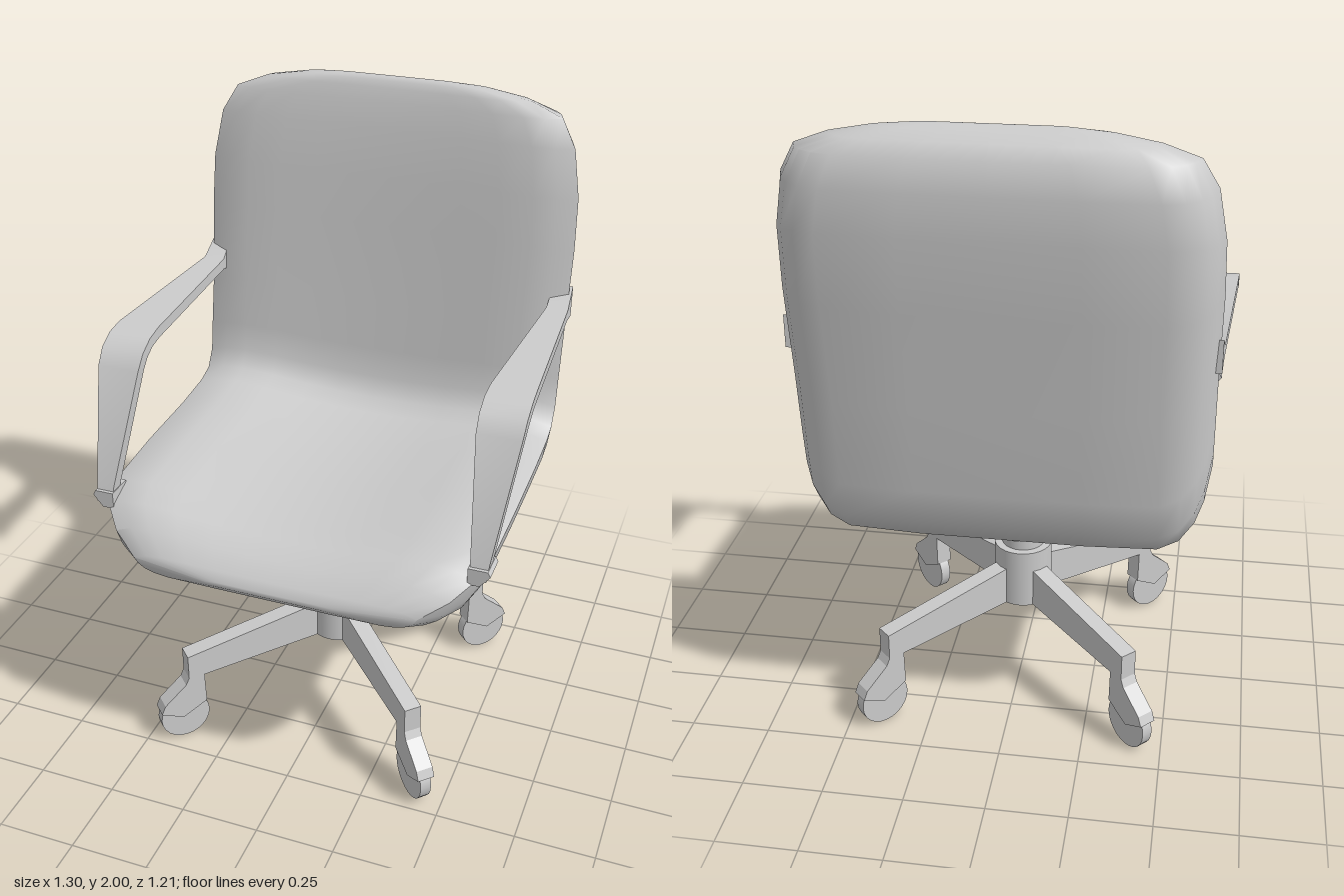
import * as THREE from 'three';
import { toCreasedNormals } from 'three/addons/utils/BufferGeometryUtils.js';

const material = new THREE.MeshStandardMaterial({ color: 0xcccccc });

function part(name, geometry, parent) {
  const mesh = new THREE.Mesh(geometry, material);
  mesh.name = name;
  parent.add(mesh);
  return mesh;
}

// Skin a list of closed rings of [x, y, z] points and cap both ends
function loft(rings, crease) {
  const n = rings[0].length, last = rings.length - 1;
  const pos = rings.flat(2), index = [];
  const id = (i, k) => i * n + (k % n);
  for (let i = 0; i < last; i++) {
    for (let k = 0; k < n; k++) {
      const a = id(i, k), b = id(i, k + 1), c = id(i + 1, k + 1), d = id(i + 1, k);
      index.push(a, b, c, a, c, d);
    }
  }
  [0, last].forEach((i, end) => {
    const centre = pos.length / 3;
    for (let j = 0; j < 3; j++) pos.push(rings[i].reduce((s, p) => s + p[j], 0) / n);
    for (let k = 0; k < n; k++) {
      if (end) index.push(id(i, k), id(i, k + 1), centre);
      else index.push(id(i, k + 1), id(i, k), centre);
    }
  });
  const g = new THREE.BufferGeometry();
  g.setAttribute('position', new THREE.Float32BufferAttribute(pos, 3));
  g.setIndex(index);
  return toCreasedNormals(g, crease);
}

// Flat profile given a thickness, centred on z = 0
function slab(points, width) {
  const shape = new THREE.Shape(points.map(p => new THREE.Vector2(...p)));
  return new THREE.ExtrudeGeometry(shape, { depth: width, bevelEnabled: false }).translate(0, 0, -width / 2);
}

// Continuous seat and backrest: [inner z, inner y, outer z, outer y, half width, dish]
function shellGeometry() {
  const stations = [
    [0.608, 0.80, 0.608, 0.785, 0.20, 0],
    [0.588, 0.83, 0.58, 0.755, 0.44, 0.005],
    [0.54, 0.885, 0.53, 0.737, 0.52, 0.02],
    [0.48, 0.93, 0.45, 0.725, 0.575, 0.035],
    [0.40, 0.953, 0.36, 0.725, 0.60, 0.05],
    [0.15, 0.967, 0.10, 0.725, 0.605, 0.055],
    [-0.10, 0.974, -0.15, 0.725, 0.605, 0.055],
    [-0.24, 0.985, -0.36, 0.725, 0.605, 0.048],
    [-0.30, 1.005, -0.425, 0.737, 0.605, 0.04],
    [-0.333, 1.06, -0.475, 0.80, 0.605, 0.032],
    [-0.345, 1.15, -0.50, 0.92, 0.605, 0.025],
    [-0.364, 1.30, -0.53, 1.20, 0.605, 0.018],
    [-0.394, 1.55, -0.578, 1.50, 0.608, 0.014],
    [-0.412, 1.70, -0.603, 1.72, 0.603, 0.012],
    [-0.432, 1.85, -0.606, 1.84, 0.577, 0.012],
    [-0.452, 1.93, -0.592, 1.93, 0.53, 0.01],
    [-0.466, 1.97, -0.565, 1.965, 0.43, 0.008],
    [-0.478, 1.99, -0.535, 1.99, 0.31, 0.005],
    [-0.492, 2.0, -0.51, 2.0, 0.20, 0],
  ];
  // inner: [share of half width, share of dish, share of rim drop]; outer: [share of half width, share of thickness]
  const inner = [[0, 1, 0], [0.2, 0.92, 0], [0.4, 0.68, 0], [0.6, 0.3, 0], [0.78, 0, 0.05], [0.9, 0, 0.3], [1, 0, 1]];
  const outer = [[0.97, 0.4], [0.93, 0.65], [0.86, 0.86], [0.76, 0.97], [0.4, 1], [0, 1]];
  const mirror = list => list.filter(p => p[0] > 0).map(([u, ...v]) => [-u, ...v]);
  const top = [...mirror(inner).reverse(), ...inner];
  const under = [...outer, ...mirror(outer).reverse()];
  const rings = stations.map(([iz, iy, oz, oy, w, dish]) => {
    const thick = Math.hypot(oz - iz, oy - iy);
    const rim = Math.min(0.03, thick * 0.3);
    const at = (u, d) => [u * w, iy + (oy - iy) * d / thick, iz + (oz - iz) * d / thick];
    return [
      ...top.map(([u, v, r]) => at(u, v * dish + r * rim)),
      ...under.map(([u, v]) => at(u, rim + (thick - rim) * v)),
    ];
  });
  return loft(rings, 0.85);
}

// Bent strap of an armrest: [outer z, outer y, inner z, inner y, half width]
function armGeometry() {
  const stations = [
    [0.485, 0.91, 0.44, 0.91, 0.024],
    [0.47, 0.96, 0.43, 0.95, 0.028],
    [0.335, 1.29, 0.298, 1.28, 0.066],
    [0.30, 1.335, 0.275, 1.31, 0.068],
    [0.25, 1.362, 0.24, 1.33, 0.068],
    [0.19, 1.372, 0.19, 1.337, 0.066],
    [-0.355, 1.372, -0.355, 1.337, 0.034],
    [-0.43, 1.42, -0.43, 1.32, 0.03],
  ];
  return loft(stations.map(([oz, oy, iz, iy, w]) =>
    [[-w, oy, oz], [w, oy, oz], [w, iy, iz], [-w, iy, iz]]), 0.6);
}

export function createModel() {
  const chair = new THREE.Group();
  chair.name = 'officeChair';

  part('seatShell', shellGeometry(), chair);

  // Armrests
  for (const side of [1, -1]) {
    const arm = new THREE.Group();
    arm.name = side > 0 ? 'leftArmrest' : 'rightArmrest';
    arm.position.x = side * 0.583;
    part('armStrap', armGeometry(), arm);
    const foot = [[-0.03, 0.945], [0.028, 0.945], [0.036, 0.93], [0.006, 0.892], [-0.03, 0.892]];
    part('armFoot', slab(foot.map(([x, y]) => [side * x, y]), 0.085), arm).position.z = 0.443;
    chair.add(arm);
  }

  // Tilt mechanism under the seat
  const trough = slab([[0.23, 0.735], [0.225, 0.70], [0.20, 0.67], [0.15, 0.652], [-0.18, 0.652],
    [-0.225, 0.665], [-0.255, 0.695], [-0.27, 0.735]], 0.18).rotateY(-Math.PI / 2);
  part('tiltHousing', trough, chair);
  const bar = slab([[0.10, 0.735], [0.10, 0.70], [0.08, 0.68], [-0.04, 0.68], [-0.06, 0.70],
    [-0.06, 0.735]], 0.34).rotateY(-Math.PI / 2);
  part('tiltCrossBar', bar, chair);
  part('tensionKnob', new THREE.CylinderGeometry(0.022, 0.022, 0.1, 12), chair).position.set(0, 0.615, -0.13);

  // Base: column, hub and four diagonal legs, set slightly forward
  const base = new THREE.Group();
  base.name = 'base';
  base.position.z = 0.022;
  chair.add(base);
  part('column', new THREE.CylinderGeometry(0.07, 0.07, 0.24, 24), base).position.y = 0.55;
  part('hub', new THREE.CylinderGeometry(0.095, 0.095, 0.2, 24), base).position.y = 0.37;

  for (let i = 0; i < 4; i++) {
    const leg = new THREE.Group();
    leg.name = 'leg' + (i + 1);
    leg.rotation.y = Math.PI / 4 + i * Math.PI / 2;
    part('legBeam', slab([[0.08, 0.272], [0.52, 0.237], [0.548, 0.237], [0.548, 0.325], [0.08, 0.402]], 0.056), leg);
    part('casterHood', slab([[0.495, 0.24], [0.548, 0.24], [0.56, 0.215], [0.635, 0.15], [0.648, 0.12],
      [0.575, 0.085], [0.492, 0.13]], 0.056), leg);
    const wheel = part('casterWheel', new THREE.CylinderGeometry(0.083, 0.083, 0.036, 24), leg);
    wheel.rotation.x = Math.PI / 2;
    wheel.position.set(0.565, 0.083, 0);
    base.add(leg);
  }
  return chair;
}
